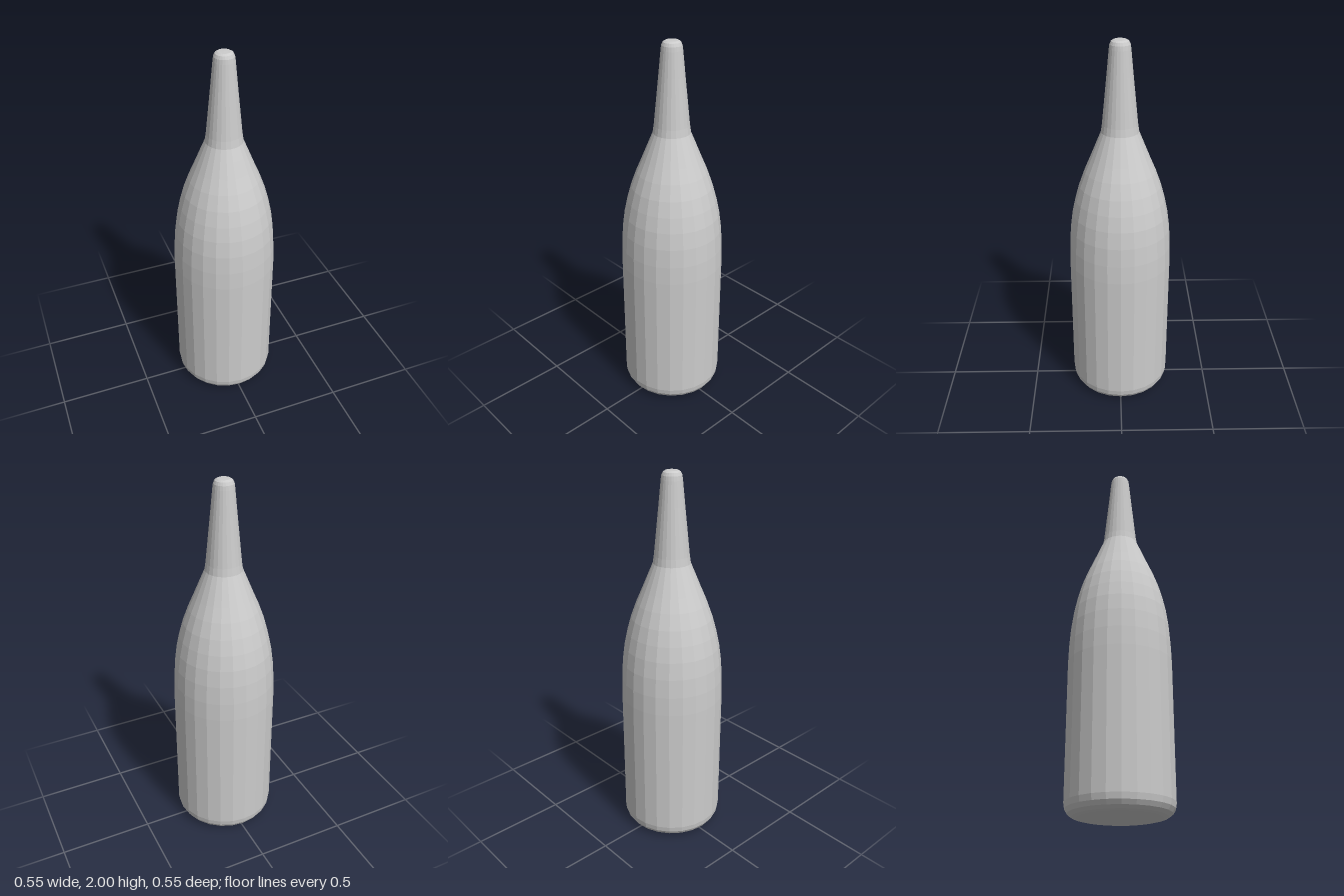
import * as THREE from 'three';

const SIDES = 24;
const material = new THREE.MeshStandardMaterial({ color: 0xcccccc, flatShading: true });

// Turned part from [radius, height] points, bottom to top
function turned(name, points) {
  const profile = points.map(([r, y]) => new THREE.Vector2(r, y));
  const mesh = new THREE.Mesh(new THREE.LatheGeometry(profile, SIDES), material);
  mesh.name = name;
  return mesh;
}

export function createModel() {
  const bottle = new THREE.Group();
  bottle.name = 'bottle';

  // Flat base with a rounded heel
  bottle.add(turned('base', [
    [0, 0], [0.21, 0.003], [0.235, 0.009], [0.257, 0.023], [0.27, 0.045], [0.275, 0.075],
  ]));

  // Straight cylindrical body
  bottle.add(turned('body', [[0.275, 0.075], [0.275, 0.3], [0.275, 0.55], [0.275, 0.8]]));

  // Long sloping shoulder
  bottle.add(turned('shoulder', [
    [0.275, 0.8], [0.272, 0.9], [0.265, 1.0], [0.253, 1.09], [0.236, 1.17],
    [0.214, 1.25], [0.185, 1.33], [0.155, 1.4], [0.122, 1.48], [0.097, 1.54],
  ]));

  // Tapered neck
  bottle.add(turned('neck', [[0.097, 1.54], [0.091, 1.58], [0.079, 1.7], [0.066, 1.83], [0.054, 1.955]]));

  // Closed rounded tip
  bottle.add(turned('tip', [[0.054, 1.955], [0.051, 1.977], [0.044, 1.992], [0.032, 1.999], [0, 2]]));

  return bottle;
}
